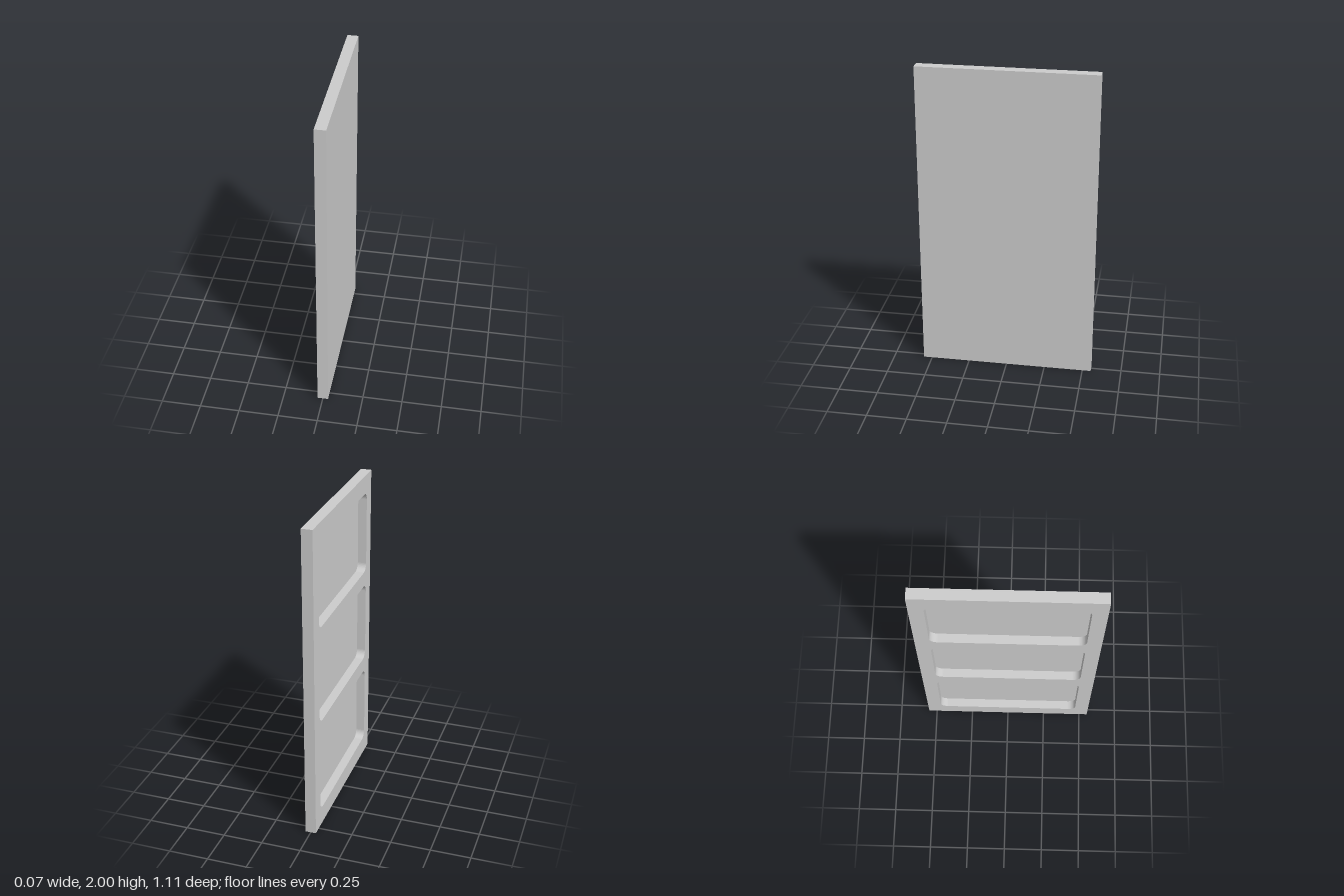
import * as THREE from 'three';

const HEIGHT = 2, WIDTH = 1.11, THICK = 0.068;
const RECESS = { depth: 0.056, width: 0.93, height: 0.526, radius: 0.05, bottom: 0.115, pitch: 0.622, count: 3 };

// Rounded rectangle outline, centred on u = 0, standing on y
function roundedRect(y, w, h, r) {
  const p = new THREE.Path();
  const x0 = -w / 2, x1 = w / 2, y1 = y + h;
  p.absarc(x1 - r, y + r, r, -Math.PI / 2, 0);
  p.absarc(x1 - r, y1 - r, r, 0, Math.PI / 2);
  p.absarc(x0 + r, y1 - r, r, Math.PI / 2, Math.PI);
  p.absarc(x0 + r, y + r, r, Math.PI, Math.PI * 1.5);
  p.closePath();
  return p;
}

export function createModel() {
  const door = new THREE.Group();
  door.name = 'panelDoor';
  const material = new THREE.MeshStandardMaterial({ color: 0xcccccc });

  // Plain sheet on the +x side, which is also the floor of the recesses
  const skin = THICK - RECESS.depth;
  const sheet = new THREE.Mesh(new THREE.BoxGeometry(skin, HEIGHT, WIDTH), material);
  sheet.name = 'backingSheet';
  sheet.position.set(THICK / 2 - skin / 2, HEIGHT / 2, 0);
  door.add(sheet);

  // Frame on the -x side with three rounded openings
  const outline = new THREE.Shape();
  outline.moveTo(-WIDTH / 2, 0);
  outline.lineTo(WIDTH / 2, 0);
  outline.lineTo(WIDTH / 2, HEIGHT);
  outline.lineTo(-WIDTH / 2, HEIGHT);
  outline.closePath();
  for (let i = 0; i < RECESS.count; i++) {
    const y = RECESS.bottom + i * RECESS.pitch;
    outline.holes.push(roundedRect(y, RECESS.width, RECESS.height, RECESS.radius));
  }
  const frameGeometry = new THREE.ExtrudeGeometry(outline, {
    depth: RECESS.depth, bevelEnabled: false, curveSegments: 10,
  });
  frameGeometry.rotateY(-Math.PI / 2);
  const frame = new THREE.Mesh(frameGeometry, material);
  frame.name = 'recessedFrame';
  frame.position.x = THICK / 2 - skin;
  door.add(frame);

  return door;
}
